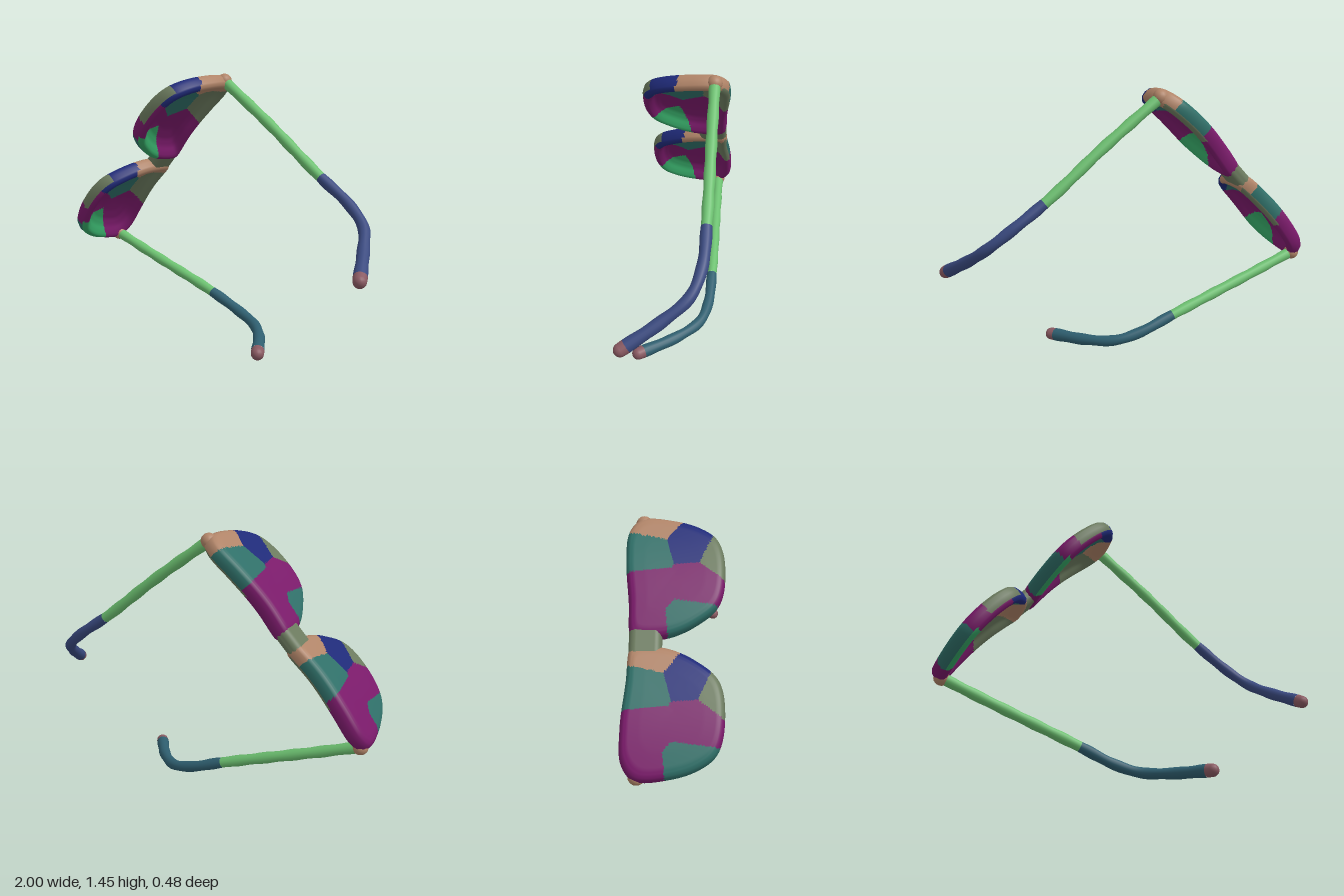
import * as THREE from 'three';
import { RoundedBoxGeometry } from 'three/addons/geometries/RoundedBoxGeometry.js';

const ANGLE = Math.atan2(0.738, 0.675); // slope of the tilted front frame
const U = new THREE.Vector3(Math.cos(ANGLE), Math.sin(ANGLE), 0);
const N = new THREE.Vector3(-U.y, U.x, 0); // outward direction of the lenses
const ORIGIN = new THREE.Vector3(-0.54, 0.944, 0);

const C = {
  purple: 0x7a1a6a, teal: 0x2f6f68, tan: 0xb08468, blue: 0x1f2a78,
  olive: 0x6b7a5e, green: 0x35a565, lime: 0x6cc070, rose: 0x8a5a62,
};

function add(parent, name, geometry, color) {
  const mesh = new THREE.Mesh(geometry, new THREE.MeshStandardMaterial({ color }));
  mesh.name = name;
  parent.add(mesh);
  return mesh;
}

// Half outline of the frame: distance from the bridge, height (z)
const OUTLINE = [
  [0.03, -0.208], [0.2, -0.22], [0.42, -0.24], [0.58, -0.23], [0.65, -0.17], [0.64, 0],
  [0.6, 0.12], [0.54, 0.2], [0.45, 0.235], [0.25, 0.235], [0.165, 0.2],
  [0.085, 0.1], [0.04, 0.01], [0.02, -0.07], [0.018, -0.19],
];
// Section from outer centre, round the rim, to inner centre: scale, depth
const SECTION = [
  [0, 0.046], [0.6, 0.047], [0.85, 0.046], [0.93, 0.04], [0.98, 0.026], [1, 0],
  [0.98, -0.028], [0.93, -0.044], [0.87, -0.05], [0.8, -0.036], [0.72, -0.012], [0.6, 0.004],
  [0.4, 0.01], [0, 0.012],
];
// Colour patch centres: along the frame from the lens centre, height, colour
const OUTER = [
  [-0.26, -0.15, 'purple'], [-0.08, -0.12, 'purple'], [-0.06, 0.1, 'purple'], [0.1, -0.14, 'teal'],
  [0.29, -0.1, 'tan'], [0.16, 0.08, 'blue'], [-0.24, 0.08, 'teal'], [0.1, 0.22, 'olive'],
];
const INNER = [
  [0.28, -0.05, 'tan'], [0.25, 0.15, 'blue'], [0.12, 0.04, 'teal'], [-0.03, 0.17, 'purple'],
  [-0.12, -0.08, 'purple'], [-0.2, 0.13, 'green'], [0.12, -0.22, 'olive'],
];

// Split long steps of the section so the colour borders stay clean
function fineSection() {
  const rows = [SECTION[0]];
  for (let i = 1; i < SECTION.length; i++) {
    const [f0, d0] = SECTION[i - 1], [f1, d1] = SECTION[i];
    const n = Math.ceil(Math.abs(f1 - f0) / 0.04);
    for (let k = 1; k <= n; k++) rows.push([f0 + ((f1 - f0) * k) / n, d0 + ((d1 - d0) * k) / n]);
  }
  return rows;
}

function lens(side) {
  const group = new THREE.Group();
  group.name = side > 0 ? 'leftLens' : 'rightLens';
  const R = 160, cs = 0.34, rows = fineSection();
  const rim = rows.findIndex(([f]) => f === 1);
  const ring = new THREE.CatmullRomCurve3(
    OUTLINE.map(([s, z]) => new THREE.Vector3(s, z, 0)), true).getSpacedPoints(R).slice(0, R);
  const pos = [], flat = [];
  for (const [f, d] of rows) {
    for (const p of ring) {
      const s = cs + (p.x - cs) * f, z = p.y * f;
      // each lens bows gently outward
      const n = 0.017 - 0.03 * s + 0.033 * Math.sin(Math.PI * Math.min(1, s / 0.66)) + d;
      const v = ORIGIN.clone().addScaledVector(U, side * s).addScaledVector(N, n);
      pos.push(v.x, v.y, z);
      flat.push([side * (s - cs), z]);
    }
  }
  // sort faces into colour patches by nearest centre
  const patches = {}, all = [];
  const put = (seeds, a, b, c) => {
    const tri = side > 0 ? [a, c, b] : [a, b, c];
    const t = (flat[a][0] + flat[b][0] + flat[c][0]) / 3;
    const z = (flat[a][1] + flat[b][1] + flat[c][1]) / 3;
    let best = null, dist = Infinity;
    for (const [st, sz, name] of seeds) {
      const d = Math.hypot(t - st, z - sz);
      if (d < dist) { dist = d; best = name; }
    }
    (patches[best] ??= []).push(...tri);
    all.push(...tri);
  };
  const last = rows.length - 1;
  for (let i = 0; i < last; i++) {
    const seeds = i <= rim ? OUTER : INNER;
    for (let j = 0; j < R; j++) {
      const k = (j + 1) % R;
      const a = i * R + j, b = a + R, c = (i + 1) * R + k, d = i * R + k;
      // the first and last rows close to a point
      if (i < last - 1) put(seeds, a, b, c);
      else put(seeds, a, b, d);
      if (i > 0 && i < last - 1) put(seeds, a, c, d);
    }
  }
  const whole = new THREE.BufferGeometry();
  whole.setAttribute('position', new THREE.Float32BufferAttribute(pos, 3));
  whole.setIndex(all);
  whole.computeVertexNormals();
  const nor = whole.attributes.normal;
  // the two centre points get straight normals
  for (let j = 0; j < R; j++) {
    nor.setXYZ(j, N.x, N.y, 0);
    nor.setXYZ(last * R + j, -N.x, -N.y, 0);
  }
  for (const [name, index] of Object.entries(patches)) {
    const g = new THREE.BufferGeometry();
    g.setAttribute('position', whole.attributes.position);
    g.setAttribute('normal', nor);
    g.setIndex(index);
    add(group, `${name}LensPatch`, g, C[name]);
  }
  return group;
}

function temple(name, points, earColor) {
  const group = new THREE.Group();
  group.name = name;
  const curve = new THREE.CatmullRomCurve3(points.map((p) => new THREE.Vector3(...p)), false, 'centripetal');
  // slightly lumpy, thicker at the tip
  const radius = (t) => 0.029 + 0.005 * THREE.MathUtils.smoothstep(t, 0.75, 1) + 0.0015 * Math.sin(t * 60);
  const part = (label, t0, t1, color) => {
    const steps = Math.ceil((t1 - t0) * 90);
    const pts = Array.from({ length: steps + 1 }, (_, i) => curve.getPointAt(t0 + ((t1 - t0) * i) / steps));
    const path = new THREE.CatmullRomCurve3(pts);
    const g = new THREE.TubeGeometry(path, steps, 1, 16);
    const p = g.attributes.position, v = new THREE.Vector3();
    for (let i = 0; i <= steps; i++) {
      const c = path.getPointAt(i / steps), r = radius(t0 + ((t1 - t0) * i) / steps);
      for (let j = 0; j <= 16; j++) {
        v.fromBufferAttribute(p, i * 17 + j).sub(c).multiplyScalar(r).add(c);
        p.setXYZ(i * 17 + j, v.x, v.y, v.z);
      }
    }
    add(group, label, g, color);
  };
  part('templeArm', 0, 0.51, C.lime);
  part('earHook', 0.51, 0.98, earColor);
  part('earTip', 0.98, 1, C.rose);
  add(group, 'tipCap', new THREE.SphereGeometry(radius(1), 16, 12), C.rose).position.copy(curve.getPointAt(1));
  add(group, 'hinge', new THREE.SphereGeometry(0.041, 20, 14), C.tan).position.copy(curve.getPointAt(0));
  return group;
}

export function createModel() {
  const model = new THREE.Group();
  model.name = 'sunglasses';
  model.add(lens(1), lens(-1));

  // Bridge joining the two lenses, flush with the top bar
  const bridge = add(model, 'bridge', new RoundedBoxGeometry(0.17, 0.086, 0.158, 6, 0.036), C.olive);
  bridge.rotation.z = ANGLE;
  bridge.position.copy(ORIGIN).addScaledVector(N, 0.024).setZ(-0.134);

  model.add(temple('leftTemple', [
    [-0.108, 1.407, -0.16], [0.2, 1.175, -0.16], [0.5, 0.93, -0.16], [0.7, 0.785, -0.15],
    [0.81, 0.69, -0.1], [0.88, 0.6, 0.02], [0.967, 0.49, 0.207],
  ], 0x3a4a80));
  model.add(temple('rightTemple', [
    [-0.945, 0.468, -0.16], [-0.74, 0.392, -0.16], [-0.6, 0.342, -0.16], [-0.2, 0.2, -0.16], [0, 0.12, -0.15],
    [0.13, 0.08, -0.11], [0.25, 0.058, 0], [0.392, 0.034, 0.207],
  ], 0x2f5f70));
  return model;
}
